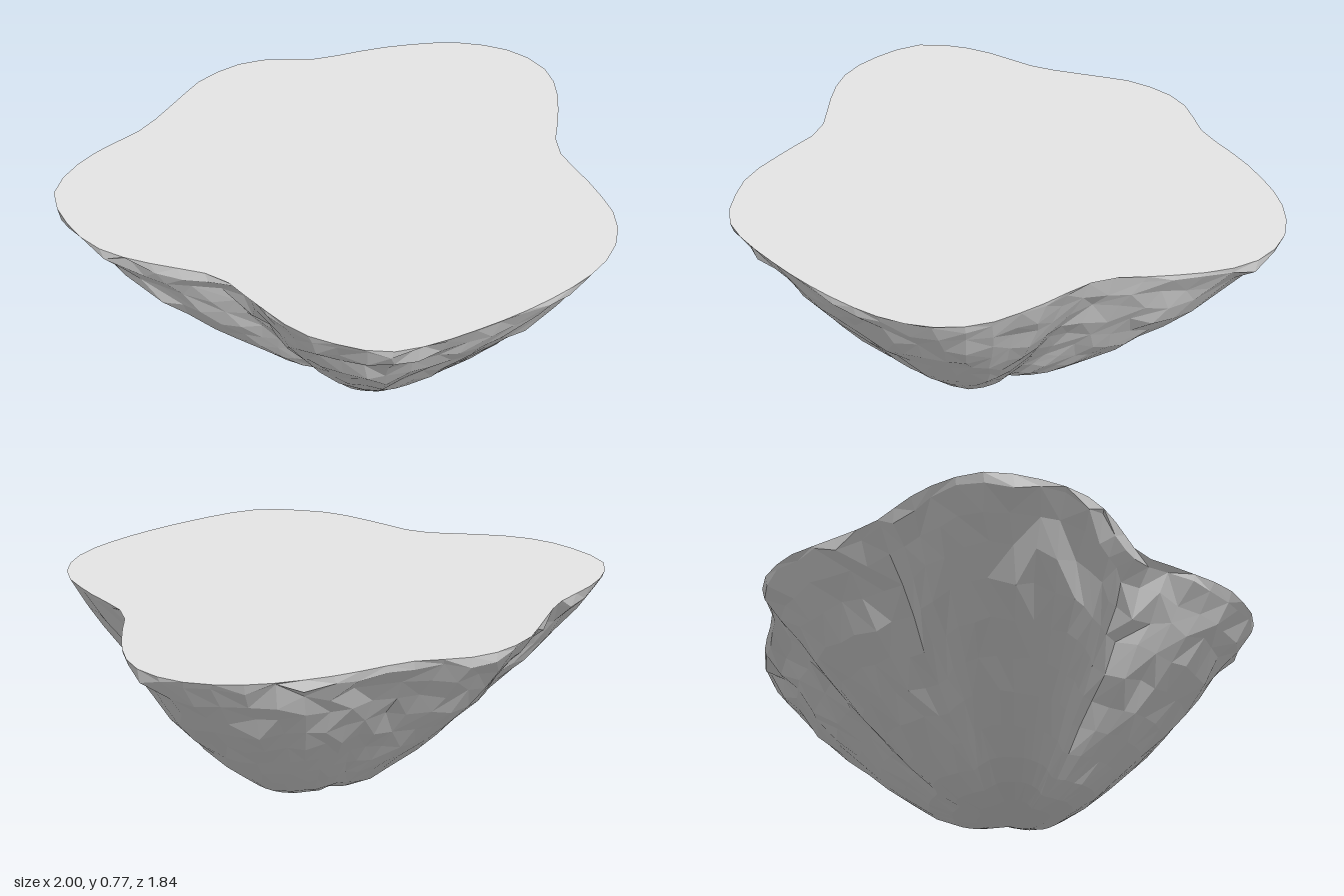
import * as THREE from 'three';

// Plan outline of the rim [x, z], counter-clockwise seen from above
const OUTLINE = [
  [0, -0.92], [-0.18, -0.89], [-0.32, -0.81], [-0.52, -0.70], [-0.72, -0.65], [-0.87, -0.58],
  [-0.97, -0.48], [-1, -0.29], [-0.975, -0.13], [-0.9, 0], [-0.8, 0.11], [-0.69, 0.24],
  [-0.65, 0.43], [-0.6, 0.63], [-0.53, 0.74], [-0.39, 0.87], [-0.04, 0.915], [0.3, 0.885],
  [0.47, 0.83], [0.58, 0.75], [0.66, 0.63], [0.70, 0.43], [0.73, 0.18], [0.86, 0],
  [0.97, -0.18], [1, -0.32], [0.955, -0.48], [0.81, -0.63], [0.56, -0.74], [0.26, -0.81], [0.125, -0.89],
];
// Downward profile [y, fraction of the outline]
const PROFILE = [
  [0.775, 1], [0.745, 0.985], [0.67, 0.925], [0.59, 0.86], [0.5, 0.785], [0.41, 0.695],
  [0.32, 0.6], [0.24, 0.515], [0.16, 0.42], [0.085, 0.325], [0.035, 0.235], [0.008, 0.14],
];
// Valleys between the lobes, as plan directions
const VALLEYS = [[-0.52, -0.70], [-0.69, 0.24], [0.73, 0.18], [0.26, -0.81]].map(([x, z]) => Math.atan2(z, x));
const BASE_Z = 0.06;
const SEGMENTS = 62;

function seeded(seed) {
  return () => {
    seed = (seed * 16807) % 2147483647;
    return seed / 2147483647 - 0.5;
  };
}

function geometryFrom(positions, index) {
  const geometry = new THREE.BufferGeometry();
  geometry.setAttribute('position', new THREE.Float32BufferAttribute(positions, 3));
  geometry.setIndex(index);
  const faceted = geometry.toNonIndexed();
  faceted.computeVertexNormals();
  return faceted;
}

export function createModel() {
  const random = seeded(4217);
  const stone = new THREE.MeshStandardMaterial({ color: 0xe6e6e6 });
  stone.name = 'pale grey stone';
  stone.flatShading = true;

  const curve = new THREE.CatmullRomCurve3(OUTLINE.map(([x, z]) => new THREE.Vector3(x, 0, z)), true);
  const rim = curve.getSpacedPoints(SEGMENTS).slice(0, SEGMENTS);

  // Tapering rings with creased valleys and a lightly rough surface
  const positions = [];
  PROFILE.forEach(([y, s], r) => {
    const rough = r === 0 ? 0 : 0.022 * s;
    rim.forEach((p) => {
      const angle = Math.atan2(p.z, p.x);
      let groove = 0;
      for (const v of VALLEYS) {
        const d = Math.atan2(Math.sin(angle - v), Math.cos(angle - v));
        groove += Math.max(0, 1 - Math.abs(d) / 0.25);
      }
      const k = s * (1 - 0.07 * groove * Math.sin(Math.PI * s));
      positions.push(
        p.x * k + rough * random(),
        r === 0 ? y : y + rough * 2 * random() * s,
        BASE_Z * (1 - s) + p.z * k + rough * random(),
      );
    });
  });
  const tip = positions.length / 3;
  positions.push(0, 0, BASE_Z);

  // Side facets, with the diagonals turned at random
  const index = [];
  for (let r = 0; r < PROFILE.length; r++) {
    for (let i = 0; i < SEGMENTS; i++) {
      const j = (i + 1) % SEGMENTS;
      const a = r * SEGMENTS + i, d = r * SEGMENTS + j;
      if (r === PROFILE.length - 1) {
        index.push(a, tip, d);
        continue;
      }
      const b = a + SEGMENTS, c = d + SEGMENTS;
      if (random() > 0) index.push(a, b, c, a, c, d);
      else index.push(a, b, d, b, c, d);
    }
  }
  const underside = new THREE.Mesh(geometryFrom(positions, index), stone);
  underside.name = 'rockUnderside';

  // Flat top closing the rim
  const topPositions = [0, 0.775, 0];
  const topIndex = [];
  rim.forEach((p, i) => {
    topPositions.push(p.x, 0.775, p.z);
    topIndex.push(0, i + 1, ((i + 1) % SEGMENTS) + 1);
  });
  const top = new THREE.Mesh(geometryFrom(topPositions, topIndex), stone);
  top.name = 'flatTop';

  const group = new THREE.Group();
  group.name = 'floatingRock';
  group.add(underside, top);
  return group;
}
